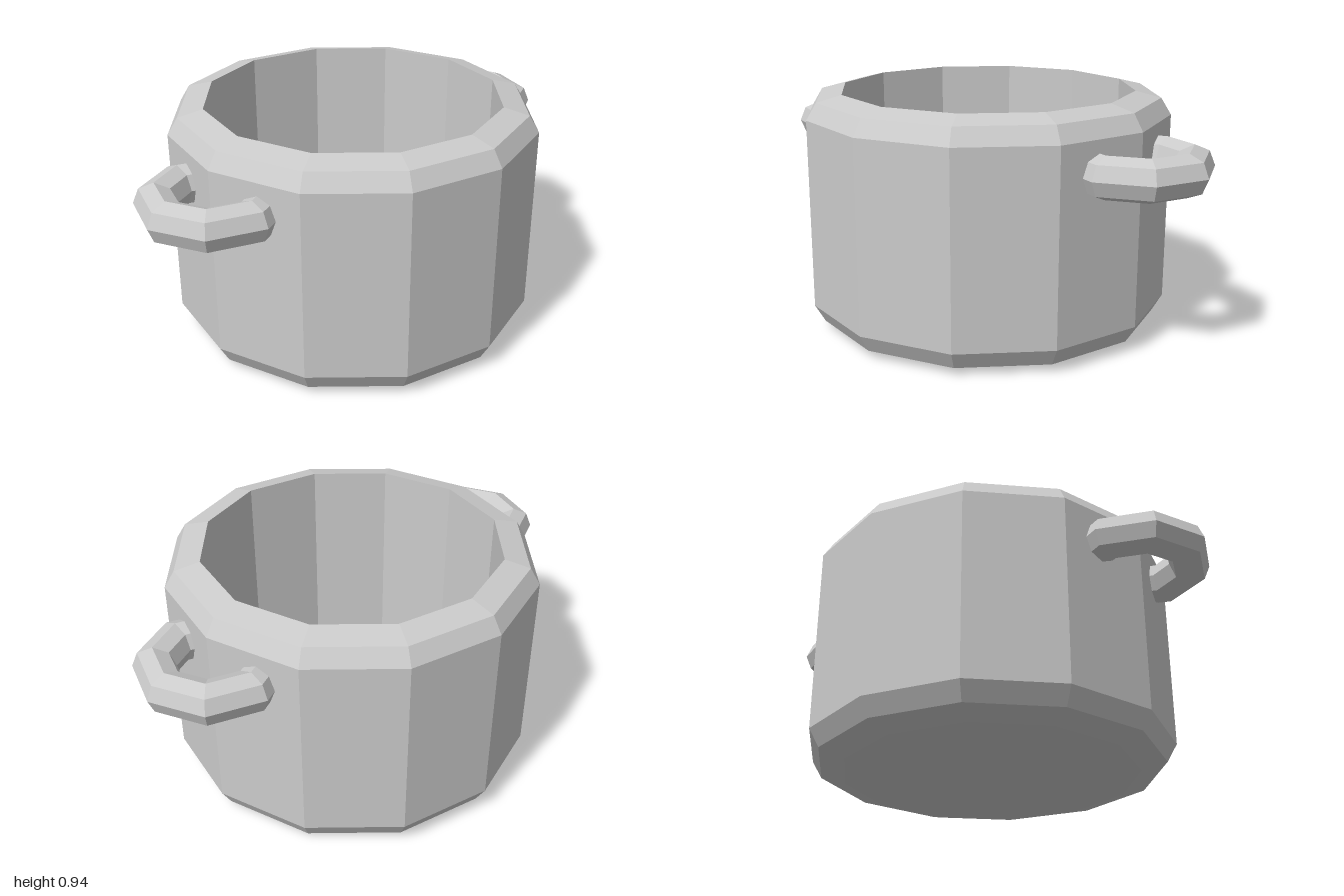
import * as THREE from 'three';

const material = new THREE.MeshStandardMaterial({ color: 0xcccccc, flatShading: true });

// Twelve-sided pot: bevelled base, straight wall, bevelled rim, hollow inside
function createPot() {
  const profile = [
    [0, 0], [0.59, 0], [0.69, 0.03], [0.73, 0.1],
    [0.73, 0.85], [0.69, 0.915], [0.59, 0.94],
    [0.59, 0.1], [0, 0.1],
  ].map(([r, y]) => new THREE.Vector2(r, y));
  const pot = new THREE.Mesh(new THREE.LatheGeometry(profile, 12), material);
  pot.name = 'pot';
  return pot;
}

// Octagonal ring handle whose two ends sink into the pot wall
function createHandleGeometry() {
  const sides = 8, steps = 6;
  const geometry = new THREE.TorusGeometry(0.21, 0.08, sides, steps, Math.PI * 1.5);
  const p = geometry.attributes.position;
  const a = new THREE.Vector3(), b = new THREE.Vector3();
  // Shorten the end segments so they stop inside the wall
  for (let j = 0; j <= sides; j++) {
    const row = j * (steps + 1);
    for (const [end, next] of [[0, 1], [steps, steps - 1]]) {
      a.fromBufferAttribute(p, row + end).lerp(b.fromBufferAttribute(p, row + next), 0.5);
      p.setXYZ(row + end, a.x, a.y, a.z);
    }
  }
  geometry.rotateZ(-Math.PI / 4).rotateX(Math.PI / 2).translate(0, 0.72, 0.71);
  geometry.computeVertexNormals();
  return geometry;
}

export function createModel() {
  const model = new THREE.Group();
  model.name = 'cookingPot';
  model.add(createPot());

  // Handles at front and back
  const handleGeometry = createHandleGeometry();
  ['frontHandle', 'backHandle'].forEach((name, i) => {
    const handle = new THREE.Mesh(handleGeometry, material);
    handle.name = name;
    handle.rotation.y = i * Math.PI;
    model.add(handle);
  });
  return model;
}
